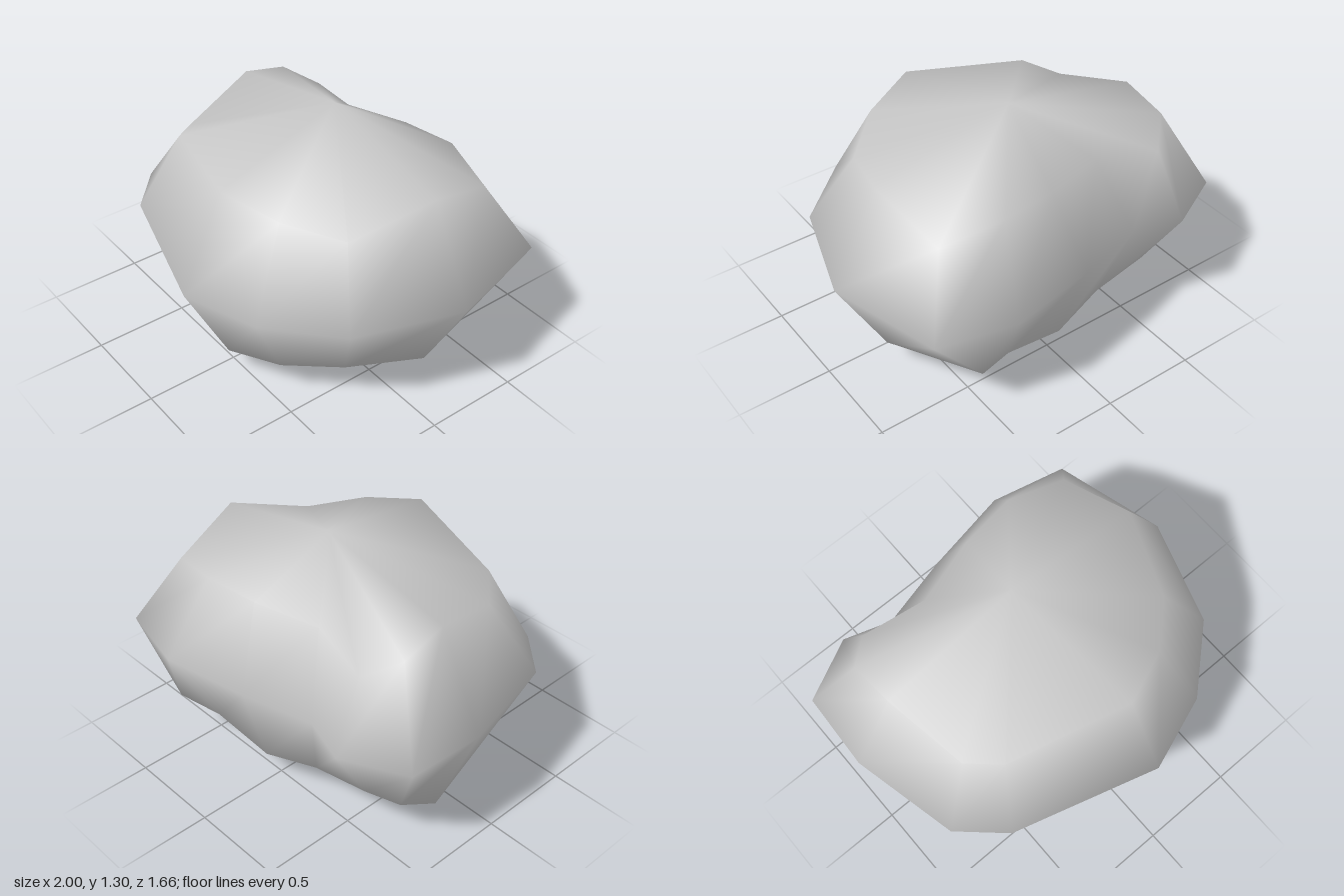
import * as THREE from 'three';

export function createModel() {
  const group = new THREE.Group();
  group.name = 'rock';
  const stone = new THREE.MeshStandardMaterial({ color: 0xc8c8c8 });
  stone.name = 'stone grey';

  // Cross-sections run from +x towards +z around the rock, as [x, y, z]
  const upper = [
    [0.75, 1.14, -0.15], [0.62, 1.01, 0.26], [0.39, 1.08, 0.47], [0.1, 1.14, 0.59],
    [-0.52, 1.07, 0.42], [-0.66, 1.01, 0.27], [-0.75, 1.14, -0.15], [-0.76, 1.08, -0.4],
    [-0.62, 0.99, -0.54], [-0.28, 1.04, -0.47], [0.06, 1.06, -0.57], [0.36, 1.07, -0.61],
    [0.67, 1.01, -0.54],
  ];
  const waist = [
    [1, -0.15], [0.82, 0.4], [0.5, 0.69], [0.11, 0.83],
    [-0.65, 0.61], [-0.87, 0.41], [-1, -0.15], [-0.98, -0.56],
    [-0.66, -0.72], [-0.41, -0.64], [-0.03, -0.74], [0.44, -0.83],
    [0.84, -0.74],
  ].map(([x, z]) => [x, 0.65, z]);
  const lower = [
    [0.74, 0.17, -0.15], [0.62, 0.25, 0.26], [0.39, 0.22, 0.48], [0.1, 0.17, 0.59],
    [-0.52, 0.22, 0.42], [-0.66, 0.24, 0.27], [-0.83, 0.17, -0.23], [-0.78, 0.25, -0.42],
    [-0.62, 0.28, -0.5], [-0.3, 0.23, -0.52], [0, 0.17, -0.59], [0.34, 0.24, -0.62],
    [0.55, 0.29, -0.7],
  ];

  const rings = [upper, waist, lower];
  const n = waist.length;
  const points = [...rings.flat(), [0, 1.3, -0.15], [0, 0, -0.15]];
  const top = 3 * n, bottom = top + 1;
  const index = [];
  for (let i = 0; i < n; i++) {
    const j = (i + 1) % n;
    // Crown and underside fans
    index.push(top, j, i, bottom, 2 * n + i, 2 * n + j);
    // Side bands
    for (let r = 0; r < 2; r++) {
      const a = r * n + i, b = r * n + j;
      index.push(a, b, b + n, a, b + n, a + n);
    }
  }

  const geometry = new THREE.BufferGeometry();
  geometry.setAttribute('position', new THREE.Float32BufferAttribute(points.flat(), 3));
  geometry.setIndex(index);
  geometry.computeVertexNormals();

  const rock = new THREE.Mesh(geometry, stone);
  rock.name = 'boulder';
  group.add(rock);
  return group;
}
